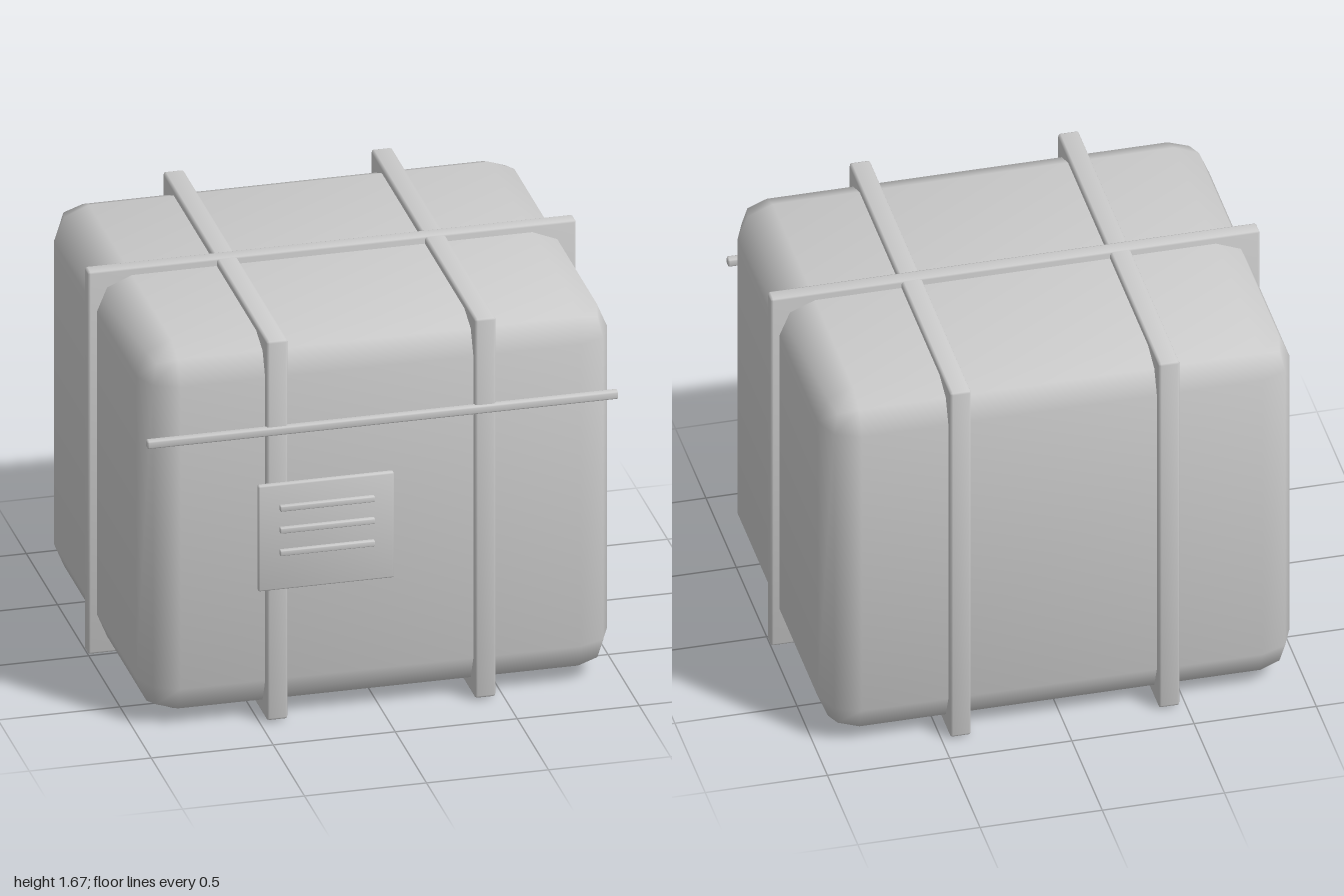
import * as THREE from 'three';
import { RoundedBoxGeometry } from 'three/addons/geometries/RoundedBoxGeometry.js';

// Box between two corners with a two-step bevel; normals lean outward for soft shading
function bevelBox(name, material, [x0, y0, z0], [x1, y1, z1], radius) {
  const geometry = new RoundedBoxGeometry(x1 - x0, y1 - y0, z1 - z0, 1, radius);
  const p = geometry.attributes.position;
  const n = geometry.attributes.normal;
  const v = new THREE.Vector3();
  for (let i = 0; i < p.count; i++) {
    v.fromBufferAttribute(n, i);
    v.x += 0.18 * Math.sign(p.getX(i));
    v.y += 0.18 * Math.sign(p.getY(i));
    v.z += 0.18 * Math.sign(p.getZ(i));
    v.normalize();
    n.setXYZ(i, v.x, v.y, v.z);
  }
  const mesh = new THREE.Mesh(geometry, material);
  mesh.name = name;
  mesh.position.set((x0 + x1) / 2, (y0 + y1) / 2, (z0 + z1) / 2);
  return mesh;
}

export function createModel() {
  const group = new THREE.Group();
  group.name = 'strappedCrate';
  const grey = new THREE.MeshStandardMaterial({ color: 0xcccccc });
  grey.name = 'light grey';
  const add = (name, min, max, radius) => group.add(bevelBox(name, grey, min, max, radius));

  // Padded body
  add('body', [-0.965, 0.03, -0.842], [0.965, 1.64, 0.766], 0.145);

  // Two front-to-back bands and one side-to-side band
  for (const [name, x] of [['rightStrap', -0.43], ['leftStrap', 0.423]]) {
    add(name, [x - 0.043, 0.008, -0.875], [x + 0.043, 1.667, 0.794], 0.011);
  }
  add('crossStrap', [-1, 0, -0.071], [1, 1.672, -0.009], 0.01);

  // Lid seam bar across the front
  add('seamBar', [-0.965, 1.257, 0.773], [0.965, 1.291, 0.807], 0.007);

  // Label plate with three raised bars
  add('labelPlate', [-0.523, 0.605, 0.827], [0.033, 1.066, 0.854], 0.007);
  for (const y of [0.966, 0.87, 0.772]) {
    add('labelBar', [-0.438, y - 0.012, 0.852], [-0.05, y + 0.012, 0.875], 0.004);
  }
  return group;
}
